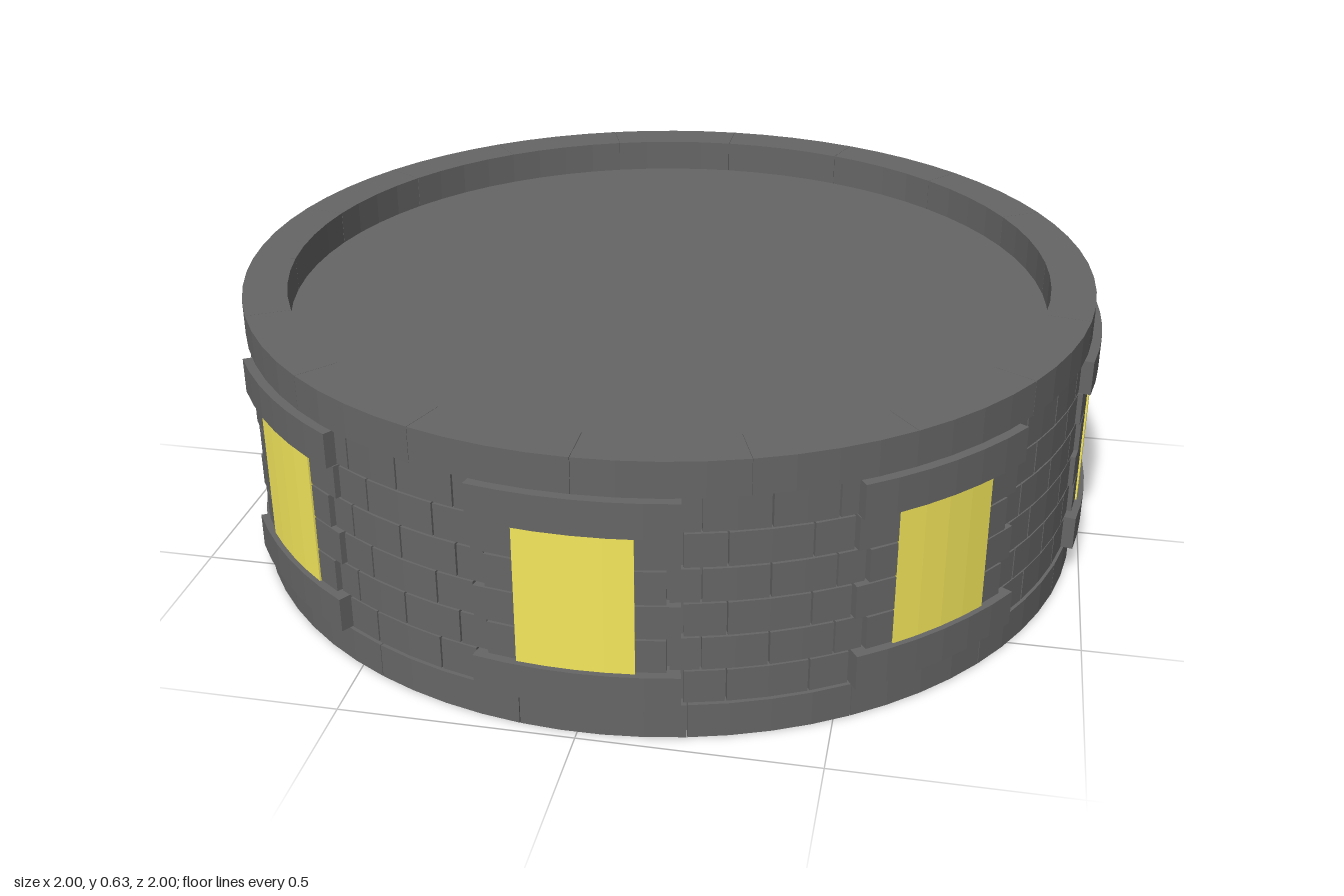
import * as THREE from 'three';
import { mergeGeometries } from 'three/addons/utils/BufferGeometryUtils.js';

const COURSE = 0.0785; // height of one stone course
const RAD = Math.PI / 180;

// Curved block between two radii, two angles (degrees, 0 = front) and two heights
function block(r0, r1, a0, a1, y0, y1, step = 5) {
  const s = new THREE.Shape();
  const n = Math.max(1, Math.round((a1 - a0) / step));
  const pt = (r, a) => new THREE.Vector2(r * Math.sin(a * RAD), -r * Math.cos(a * RAD));
  const pts = [];
  for (let i = 0; i <= n; i++) pts.push(pt(r1, a0 + (a1 - a0) * i / n));
  for (let i = n; i >= 0; i--) pts.push(pt(r0, a0 + (a1 - a0) * i / n));
  s.setFromPoints(pts);
  const g = new THREE.ExtrudeGeometry(s, { depth: y1 - y0, bevelEnabled: false });
  g.rotateX(-Math.PI / 2);
  g.translate(0, y0, 0);
  return g;
}

export function createModel() {
  const group = new THREE.Group();
  const stone = new THREE.MeshStandardMaterial({ color: 0x666666, flatShading: true });
  const glow = new THREE.MeshStandardMaterial({ color: 0xf5e85c });
  const add = (name, geo, mat = stone) => {
    const mesh = new THREE.Mesh(geo, mat);
    mesh.name = name;
    group.add(mesh);
  };

  // Solid core: mortar behind the bricks, and the sunken floor on top
  const core = new THREE.CylinderGeometry(0.958, 0.958, 7 * COURSE, 72);
  core.translate(0, 3.5 * COURSE, 0);
  add('core', core);

  // Plinth and parapet rings of long curved stones
  const plinth = [], parapet = [];
  for (let i = 0; i < 18; i++) {
    const a = i * 20;
    plinth.push(block(0.88, 0.98, a - 7, a + 12.9, 0, COURSE));
    parapet.push(block(0.88, 0.98, a, a + 19.95, 7 * COURSE, 8 * COURSE));
  }
  add('plinth', mergeGeometries(plinth));
  add('parapet', mergeGeometries(parapet));
  const base = new THREE.CircleGeometry(0.975, 72);
  base.rotateX(Math.PI / 2);
  add('underside', base);

  // Eight bays: a framed window, then a panel of staggered bricks
  const bricks = [], jambs = [], lintels = [], windows = [];
  for (let bay = 0; bay < 8; bay++) {
    const a = bay * 45;
    for (let row = 1; row <= 6; row++) {
      const y0 = row * COURSE + 0.002, y1 = (row + 1) * COURSE - 0.002;
      const odd = row % 2;
      const half = odd ? 12.2 : 10.6;

      // Lintel and sill stand proud; jamb stones alternate in width
      if (row === 1 || row === 6) {
        lintels.push(block(0.94, 1.0, a - 12.2, a + 12.2, row * COURSE, (row + 1) * COURSE, 4));
      } else {
        jambs.push(block(0.94, 0.984, a - half, a - 6.9, y0, y1));
        jambs.push(block(0.94, 0.984, a + 6.9, a + half, y0, y1));
      }

      // Bricks between this window and the next
      const start = a + half + 0.2, end = a + 45 - half - 0.2;
      const mid = a + 22.5;
      const joints = odd ? [start, mid - 5, mid + 5, end] : [start, mid - 8, mid, mid + 8, end];
      for (let k = 0; k < joints.length - 1; k++) {
        bricks.push(block(0.94, 0.974, joints[k] + 0.12, joints[k + 1] - 0.12, y0, y1));
      }
    }
    windows.push(block(0.94, 0.988, a - 7, a + 7, 2 * COURSE, 6 * COURSE, 3.5));
  }
  add('wallBricks', mergeGeometries(bricks));
  add('windowJambs', mergeGeometries(jambs));
  add('lintelsAndSills', mergeGeometries(lintels));
  add('windows', mergeGeometries(windows), glow);

  return group;
}
